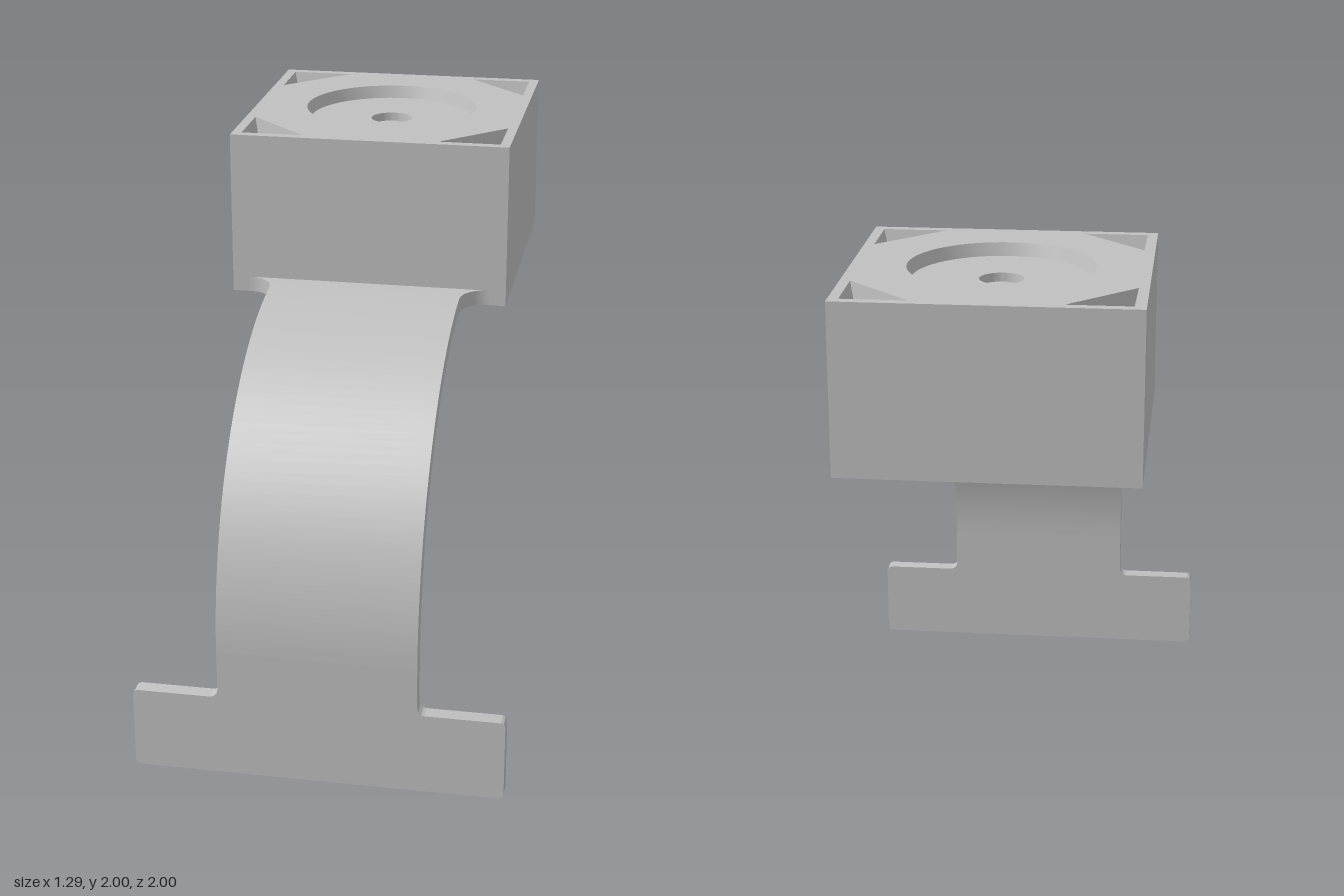
import * as THREE from 'three';
import { toCreasedNormals, mergeGeometries } from 'three/addons/utils/BufferGeometryUtils.js';

const TOP = 2, BOTTOM = 1.415, THICK = 0.055, HALF = 0.345, BEND_Y = 0.47;

function polygon(points) {
  return new THREE.Shape(points.map(([x, y]) => new THREE.Vector2(x, y)));
}

// Side and bottom faces of the head block, leaving the top open
function blockShell() {
  const geo = new THREE.BoxGeometry(1, TOP - BOTTOM, 1);
  const index = Array.from(geo.index.array);
  index.splice(12, 6);
  geo.setIndex(index);
  geo.clearGroups();
  geo.translate(0, (TOP + BOTTOM) / 2, -0.5);
  return geo;
}

// Triangular corner pocket outline; sx, sy choose the corner
function triangle(sx, sy, inset) {
  const c = 0.465 - inset, e = 0.245 + inset * 1.41;
  const pts = [[c * sx, c * sy], [e * sx, c * sy], [c * sx, e * sy]];
  return sx * sy > 0 ? pts.reverse() : pts;
}

// Drafted walls and floor of a pocket
function pocket(upper, lower, depth) {
  const ccw = THREE.ShapeUtils.isClockWise(upper.map(([x, y]) => new THREE.Vector2(x, y)));
  const a = ccw ? [...upper].reverse() : upper;
  const b = ccw ? [...lower].reverse() : lower;
  const pos = [];
  a.forEach((p, i) => {
    const j = (i + 1) % a.length;
    const A = [...p, 0], B = [...a[j], 0], C = [...b[j], -depth], D = [...b[i], -depth];
    pos.push(...A, ...B, ...C, ...A, ...C, ...D);
  });
  b.forEach((p) => pos.push(...p, -depth));
  const geo = new THREE.BufferGeometry();
  geo.setAttribute('position', new THREE.Float32BufferAttribute(pos, 3));
  geo.computeVertexNormals();
  return geo;
}

// Foot plate with rounded corners and the straight start of the strap
function footGeometry() {
  const w = 0.645, h = 0.295, r = 0.02, f = 0.03;
  const s = new THREE.Shape();
  s.moveTo(-w + r, 0);
  s.lineTo(w - r, 0);
  s.absarc(w - r, r, r, -Math.PI / 2, 0, false);
  s.absarc(w - r, h - r, r, 0, Math.PI / 2, false);
  s.absarc(HALF + f, h + f, f, -Math.PI / 2, -Math.PI, true);
  s.lineTo(HALF, BEND_Y);
  s.lineTo(-HALF, BEND_Y);
  s.absarc(-HALF - f, h + f, f, 0, -Math.PI / 2, true);
  s.absarc(-w + r, h - r, r, Math.PI / 2, Math.PI, false);
  s.absarc(-w + r, r, r, Math.PI, Math.PI * 1.5, false);
  const geo = new THREE.ExtrudeGeometry(s, { depth: THICK, bevelEnabled: false, curveSegments: 8 });
  geo.translate(0, 0, 1 - THICK);
  return toCreasedNormals(geo, 0.6);
}

// Quarter-circle strap, flaring with a fillet where it meets the block
function strapGeometry() {
  const r = 0.095, rows = [];
  const end = Math.acos(r);
  for (let i = 0; i <= 40; i++) rows.push([end * i / 40, HALF]);
  for (let i = 1; i <= 12; i++) {
    const t = Math.PI / 2 * (1 - i / 12);
    rows.push([Math.acos(r * (1 - Math.cos(t))), HALF + r * (1 - Math.sin(t))]);
  }
  const pos = [], index = [];
  rows.forEach(([a, w], i) => {
    for (const [x, R] of [[-w, 1], [w, 1], [w, 1 - THICK], [-w, 1 - THICK]]) {
      pos.push(x, BEND_Y + R * Math.sin(a), R * Math.cos(a));
    }
    if (i === 0) return;
    for (let j = 0; j < 4; j++) {
      const k = (j + 1) % 4, p = (i - 1) * 4, q = i * 4;
      index.push(p + j, p + k, q + k, p + j, q + k, q + j);
    }
  });
  const geo = new THREE.BufferGeometry();
  geo.setAttribute('position', new THREE.Float32BufferAttribute(pos, 3));
  geo.setIndex(index);
  return toCreasedNormals(geo, 0.6);
}

export function createModel() {
  const model = new THREE.Group();
  const grey = new THREE.MeshStandardMaterial({ color: 0xc0c0c0 });
  grey.name = 'plain grey';
  const add = (name, geo, parent = model) => {
    const mesh = new THREE.Mesh(geo, grey);
    mesh.name = name;
    parent.add(mesh);
    return mesh;
  };

  // Head block
  const head = new THREE.Group();
  head.name = 'headBlock';
  model.add(head);
  add('blockSides', blockShell(), head);

  // Top face with openings for the round recess and corner pockets
  const face = polygon([[-0.5, -0.5], [0.5, -0.5], [0.5, 0.5], [-0.5, 0.5]]);
  face.holes.push(new THREE.Path().absarc(0, 0, 0.315, 0, Math.PI * 2, true));
  const pockets = [];
  for (const sx of [-1, 1]) for (const sy of [-1, 1]) {
    const upper = triangle(sx, sy, 0), lower = triangle(sx, sy, 0.015);
    face.holes.push(polygon(upper));
    pockets.push(pocket(upper, lower, 0.07));
  }
  const onTop = (mesh) => {
    mesh.rotation.x = -Math.PI / 2;
    mesh.position.set(0, TOP, -0.5);
  };
  onTop(add('topFace', new THREE.ShapeGeometry(face, 32), head));
  onTop(add('cornerPockets', mergeGeometries(pockets), head));

  // Round recess with a small domed dimple in its centre
  const profile = [[0.315, 0], [0.302, -0.045], [0.075, -0.045], [0.073, -0.075],
    [0.05, -0.069], [0.025, -0.066], [0, -0.065]].map(([x, y]) => new THREE.Vector2(x, y));
  const recess = add('roundRecess', toCreasedNormals(new THREE.LatheGeometry(profile, 64), 0.6), head);
  recess.position.set(0, TOP, -0.5);

  // Curved support
  add('curvedStrap', strapGeometry());
  add('footPlate', footGeometry());
  return model;
}
